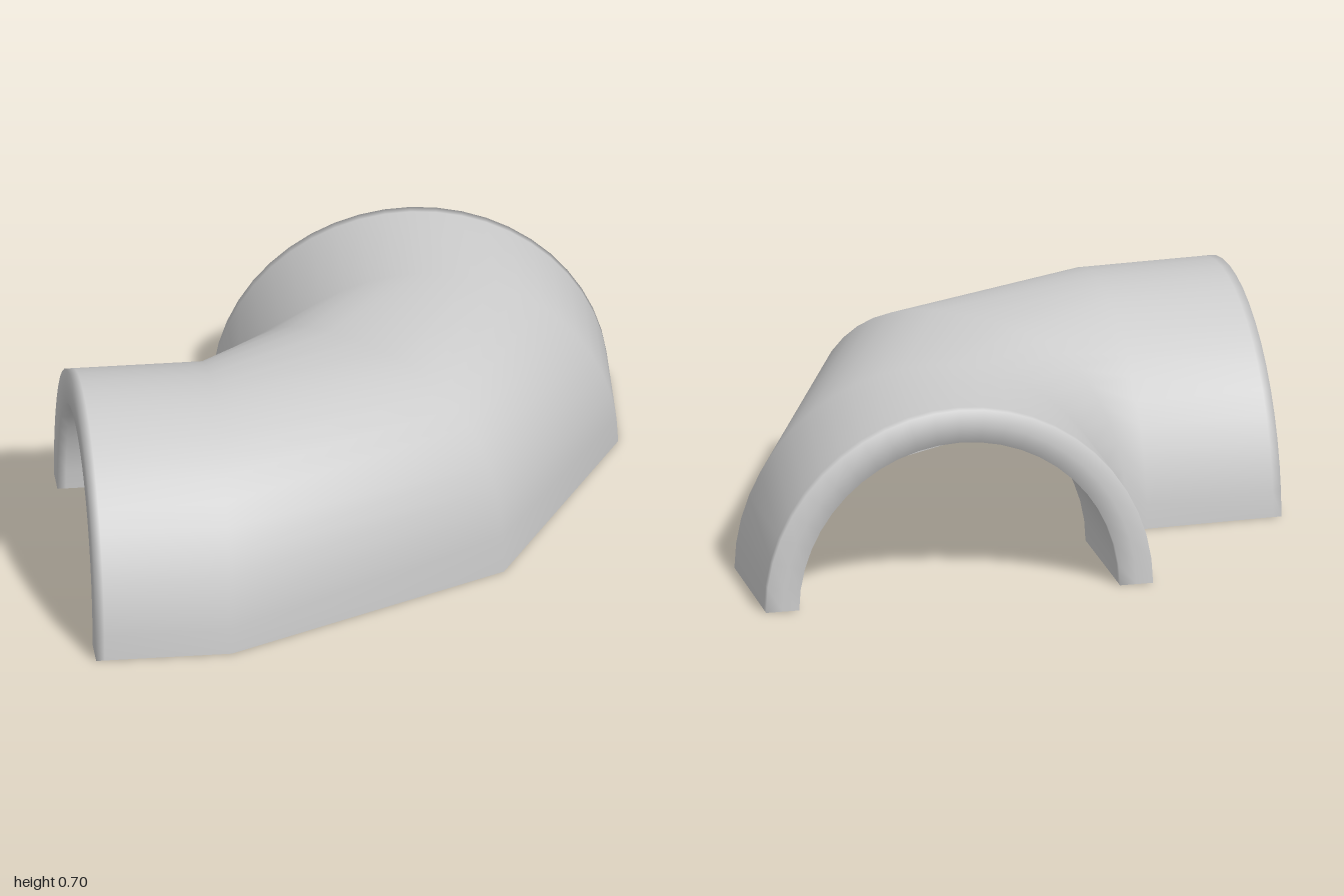
import * as THREE from 'three';

const SEGMENTS = 24;
const HEIGHT = 0.7;
const WALL = 0.12;

// Feet of each arch along the bend: outer side (x, z), inner side (x, z),
// then the fullness of its curve (2 is round, more is flatter on top)
const STATIONS = [
  [-0.95, 0.985, -1.0, -0.41, 2],
  [-0.92, 0.983, -0.97, -0.411, 2],
  [-0.47, 0.965, -0.51, -0.43, 2],
  [0.53, 0.43, -0.43, -0.46, 2.5],
  [1.0, -0.5, -0.39, -0.5, 2],
  [1.0, -0.955, -0.4, -0.955, 2],
  [1.0, -0.99, -0.4, -0.99, 2],
];

// Arch standing on its two feet, shrunk inwards by inset
function arch([ox, oz, ix, iz, fullness], inset) {
  const centre = new THREE.Vector3((ox + ix) / 2, 0, (oz + iz) / 2);
  const half = new THREE.Vector3((ox - ix) / 2, 0, (oz - iz) / 2);
  half.setLength(half.length() - inset);
  return Array.from({ length: SEGMENTS + 1 }, (_, i) => {
    const a = (Math.PI * i) / SEGMENTS;
    const across = Math.sign(Math.cos(a)) * Math.abs(Math.cos(a)) ** (2 / fullness);
    const p = centre.clone().addScaledVector(half, across);
    p.y = (HEIGHT - inset) * Math.max(0, Math.sin(a)) ** (2 / fullness);
    return p;
  });
}

// Smooth surface through rows of points
function skin(rows) {
  const n = rows[0].length;
  const index = [];
  for (let r = 0; r < rows.length - 1; r++) {
    for (let c = 0; c < n - 1; c++) {
      const a = r * n + c, b = a + n;
      index.push(a, b, a + 1, b, b + 1, a + 1);
    }
  }
  const geometry = new THREE.BufferGeometry().setFromPoints(rows.flat());
  geometry.setIndex(index);
  geometry.computeVertexNormals();
  return geometry;
}

export function createModel() {
  const group = new THREE.Group();
  group.name = 'halfPipeElbow';

  const outer = STATIONS.map((s) => arch(s, 0));
  const inner = STATIONS.map((s) => arch(s, WALL)).reverse();
  const sideRim = arch(STATIONS[0], WALL / 2);
  const backRim = arch(STATIONS[STATIONS.length - 1], WALL / 2);

  // Hollow double wall, closed by soft rims at both openings and open underneath
  const shell = new THREE.Mesh(
    skin([sideRim, ...outer, backRim, ...inner, sideRim]),
    new THREE.MeshStandardMaterial({ color: 0xcccccc, side: THREE.DoubleSide }),
  );
  shell.name = 'shell';
  group.add(shell);

  return group;
}
